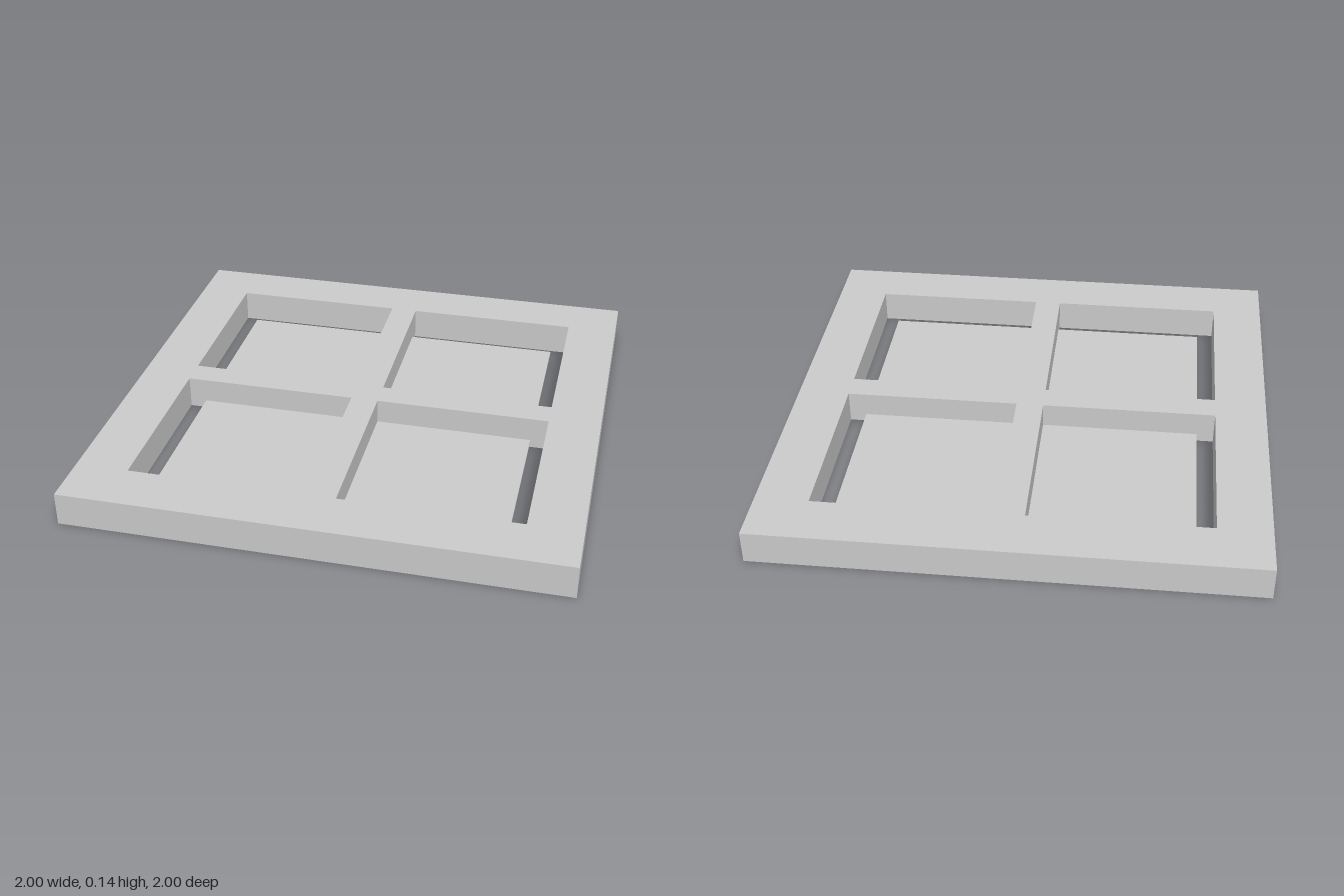
import * as THREE from 'three';

export function createModel() {
  const group = new THREE.Group();
  const material = new THREE.MeshStandardMaterial({ color: 0xcccccc, flatShading: true });

  const H = 0.137;      // frame thickness
  const INNER = 0.785;  // half opening
  const BAR = 0.114;    // glazing bar width
  const RAIL = 1 - INNER;
  const MID = (1 + INNER) / 2;

  function box(name, w, h, d, x, y, z) {
    const mesh = new THREE.Mesh(new THREE.BoxGeometry(w, h, d), material);
    mesh.name = name;
    mesh.position.set(x, y, z);
    group.add(mesh);
  }

  // Outer frame: full-width rails with stiles between them
  for (const s of [-1, 1]) {
    box(s < 0 ? 'topRail' : 'bottomRail', 2, H, RAIL, 0, H / 2, s * MID);
    box(s < 0 ? 'rightStile' : 'leftStile', RAIL, H, 2 * INNER, s * MID, H / 2, 0);
  }

  // Crossed glazing bars: one long bar, two halves butted against it
  box('verticalBar', BAR, H, 2 * INNER, 0, H / 2, 0);
  const half = INNER - BAR / 2;
  for (const s of [-1, 1]) {
    box(s < 0 ? 'rightCrossBar' : 'leftCrossBar', half, H, BAR, s * (BAR + half) / 2, H / 2, 0);
  }

  // Thin pane held by the bars, with a gap to the frame
  box('pane', 1.43, 0.014, 1.43, 0, 0.027, 0);

  return group;
}
